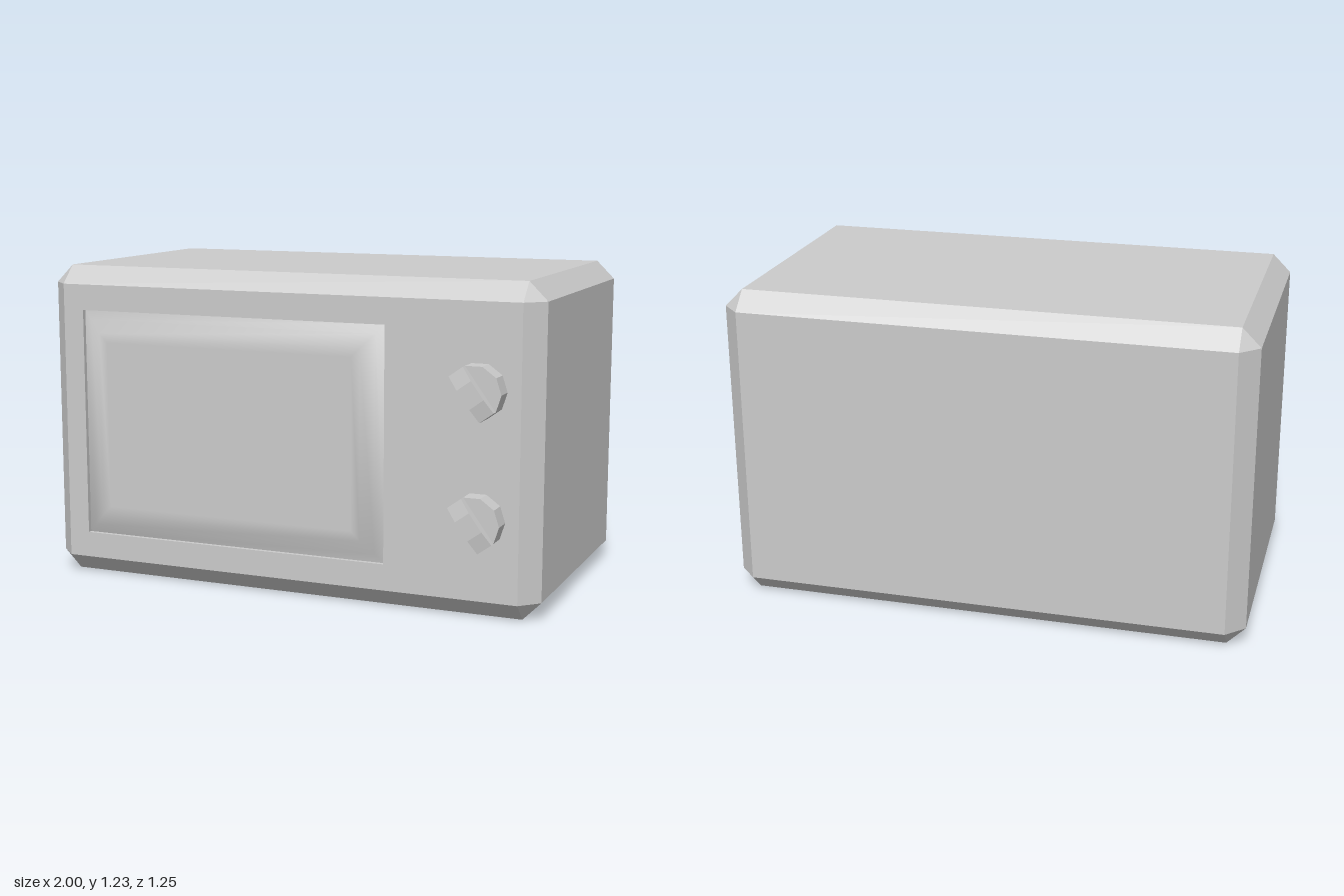
import * as THREE from 'three';
import { mergeVertices } from 'three/addons/utils/BufferGeometryUtils.js';

// One cross-section: a rectangle with its corners cut by c
function ring(x0, x1, y0, y1, z, c = 0) {
  return [
    [x1, y0 + c, z], [x1, y1 - c, z], [x1 - c, y1, z], [x0 + c, y1, z],
    [x0, y1 - c, z], [x0, y0 + c, z], [x0 + c, y0, z], [x1 - c, y0, z],
  ];
}

// Skin through the rings, from back to front, with optional end caps
function loft(rings, capBack, capFront) {
  const n = 8, index = [];
  const last = (rings.length - 1) * n;
  for (let i = 0; i < rings.length - 1; i++) {
    for (let j = 0; j < n; j++) {
      const k = (j + 1) % n;
      const a = i * n + j, b = i * n + k;
      index.push(a, b, b + n, a, b + n, a + n);
    }
  }
  for (let j = 1; j < n - 1; j++) {
    if (capBack) index.push(0, j + 1, j);
    if (capFront) index.push(last, last + j, last + j + 1);
  }
  const g = new THREE.BufferGeometry();
  g.setAttribute('position', new THREE.Float32BufferAttribute(rings.flat(2), 3));
  g.setIndex(index);
  const merged = mergeVertices(g, 1e-4);
  merged.computeVertexNormals();
  return merged;
}

export function createModel() {
  const group = new THREE.Group();
  const flat = new THREE.MeshStandardMaterial({ color: 0xcccccc, flatShading: true });
  const smooth = new THREE.MeshStandardMaterial({ color: 0xcccccc });

  const add = (parent, name, geometry, material = flat) => {
    const mesh = new THREE.Mesh(geometry, material);
    mesh.name = name;
    parent.add(mesh);
    return mesh;
  };

  // Chamfered case with a shallow opening for the door
  const c = 0.07, H = 1.23, back = -0.625, front = 0.505;
  const opening = (inset, z) => ring(-0.845 + inset, 0.415 - inset, 0.17 + inset, 1.06 - inset, z);
  add(group, 'case', loft([
    ring(-1 + c, 1 - c, c, H - c, back),
    ring(-1, 1, 0, H, back + c, c),
    ring(-1, 1, 0, H, front - c, c),
    ring(-1 + c, 1 - c, c, H - c, front),
    opening(0, front),
    opening(0, 0.488),
  ], true, false));

  // Softly raised door panel
  add(group, 'door', loft([
    opening(0, 0.488),
    opening(0.035, 0.505),
    opening(0.085, 0.529),
    opening(0.12, 0.53),
  ], false, true), smooth);

  // Ten-sided knobs with a raised grip across the face
  const R = 0.1025, apothem = R * Math.cos(Math.PI / 10), gripWidth = 2 * R * Math.sin(Math.PI / 10);
  const disc = (r, z0, z1) => new THREE.CylinderGeometry(r, r, z1 - z0, 10)
    .rotateX(Math.PI / 2).rotateZ(Math.PI / 2).translate(0, 0, (z0 + z1) / 2);
  const profile = new THREE.Shape([
    [-apothem, 0.08], [apothem, 0.08], [apothem, 0.108],
    [0.04, 0.12], [-0.04, 0.12], [-apothem, 0.108],
  ].map(([u, v]) => new THREE.Vector2(u, v)));
  const grip = new THREE.ExtrudeGeometry(profile, { depth: gripWidth, bevelEnabled: false })
    .translate(0, 0, -gripWidth / 2)
    .rotateX(Math.PI / 2)
    .rotateZ(THREE.MathUtils.degToRad(126));

  [['upperKnob', 0.843], ['lowerKnob', 0.373]].forEach(([name, y]) => {
    const knob = new THREE.Group();
    knob.name = name;
    knob.position.set(0.78, y, front);
    add(knob, 'knobStem', disc(0.03, -0.01, 0.012));
    add(knob, 'knobBody', disc(R, 0.01, 0.084));
    add(knob, 'knobGrip', grip);
    group.add(knob);
  });

  return group;
}
